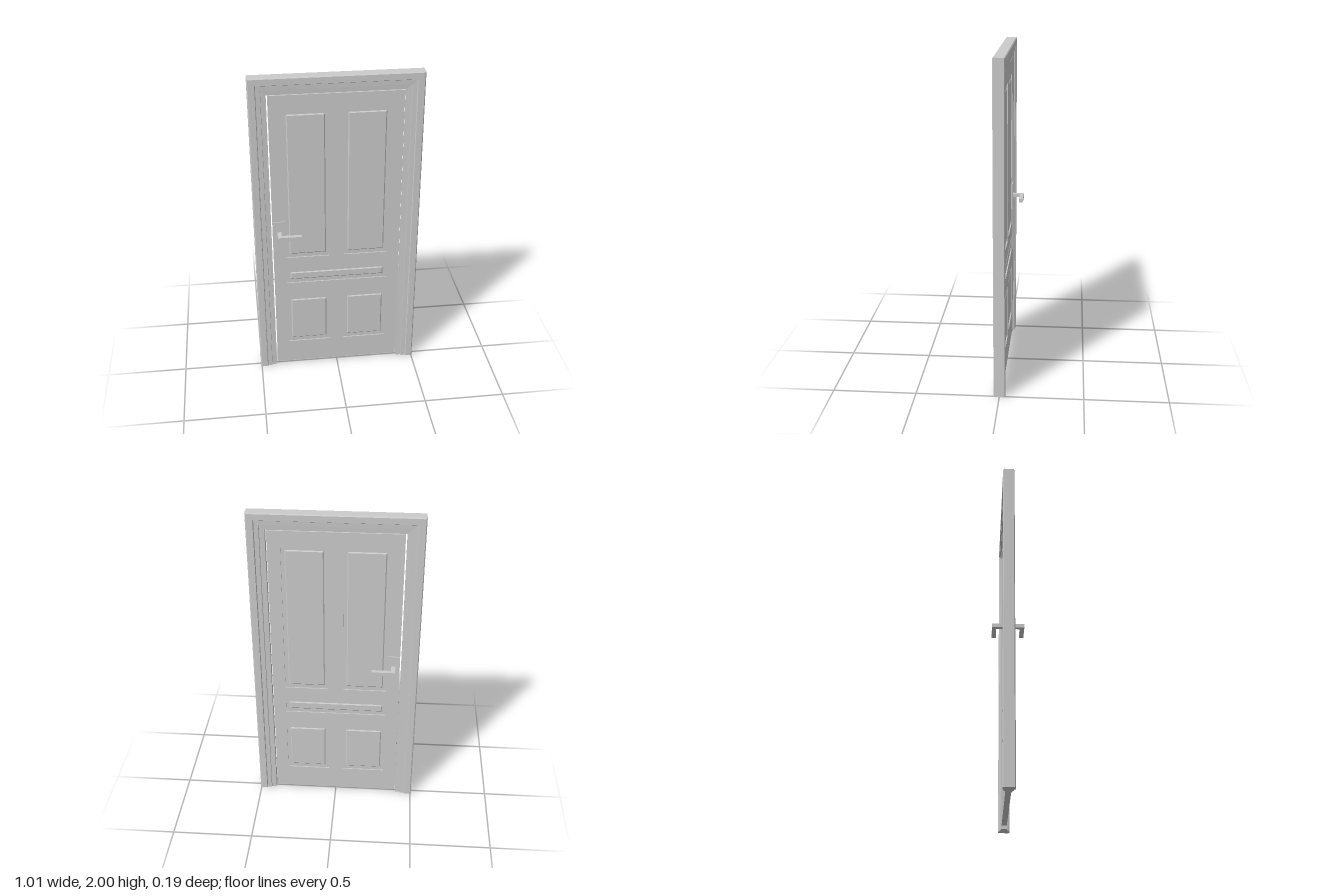
import * as THREE from 'three';

const material = new THREE.MeshStandardMaterial({ color: 0xcccccc });

const IN_X = 0.4, IN_Y = 1.9, WIDTH = 0.105; // frame opening and casing width
const LEAF = 0.016;                          // half thickness of the door leaf

function add(group, name, geometry, x = 0, y = 0, z = 0) {
  const mesh = new THREE.Mesh(geometry, material);
  mesh.name = name;
  mesh.position.set(x, y, z);
  group.add(mesh);
  return mesh;
}

function trace(target, points) {
  target.setFromPoints(points.map(([x, y]) => new THREE.Vector2(x, y)));
  return target;
}

const rect = (x0, x1, y0, y1) => [[x0, y0], [x1, y0], [x1, y1], [x0, y1]];

// Stepped casing profile: distance from the opening against half depth.
const steps = [
  [0, 0.018], [0.03, 0.02], [0.032, 0.027], [0.058, 0.028],
  [0.062, 0.035], [WIDTH - 0.006, 0.035], [WIDTH, 0.03],
];
const profile = trace(new THREE.Shape(), [
  ...steps.map(([u, z]) => [u, -z]),
  ...steps.slice().reverse(),
]);

// Extrudes the profile, then places each vertex so the corners are mitred.
function casing(place) {
  const geometry = new THREE.ExtrudeGeometry(profile, { depth: 1, bevelEnabled: false });
  const p = geometry.attributes.position;
  for (let i = 0; i < p.count; i++) {
    p.setXYZ(i, ...place(p.getX(i), p.getY(i), p.getZ(i)));
  }
  geometry.computeVertexNormals();
  return geometry;
}

// Raised field with sloping edges on both faces.
function panelField(w, h) {
  const bevel = 0.006;
  const shape = trace(new THREE.Shape(), rect(-w / 2 + bevel, w / 2 - bevel, -h / 2 + bevel, h / 2 - bevel));
  const geometry = new THREE.ExtrudeGeometry(shape, {
    depth: 0.018, bevelEnabled: true, bevelSize: bevel, bevelThickness: 0.005, bevelSegments: 1,
  });
  return geometry.translate(0, 0, -0.009);
}

export function createModel() {
  const model = new THREE.Group();
  model.name = 'panelledDoor';

  // Frame
  const frame = new THREE.Group();
  frame.name = 'doorFrame';
  add(frame, 'leftJamb', casing((u, z, t) => [IN_X + u, (1 - t) * (IN_Y + u), z]));
  add(frame, 'rightJamb', casing((u, z, t) => [-IN_X - u, t * (IN_Y + u), z]));
  add(frame, 'headCasing', casing((u, z, t) => [(2 * t - 1) * (IN_X + u), IN_Y + u, z]));
  frame.scale.y = 2 / (IN_Y + WIDTH);
  model.add(frame);

  // Door leaf with five panel openings: x0, x1, y0, y1
  const leaf = new THREE.Group();
  leaf.name = 'doorLeaf';
  const panels = [[-0.315, 0.315, 0.633, 0.733]];
  for (const [x0, x1] of [[-0.315, -0.045], [0.045, 0.315]]) {
    panels.push([x0, x1, 0.82, 1.795], [x0, x1, 0.178, 0.527]);
  }
  const outline = trace(new THREE.Shape(), rect(-0.392, 0.392, 0.02, 1.89));
  outline.holes = panels.map((p) => trace(new THREE.Path(), rect(...p).reverse()));
  const stiles = new THREE.ExtrudeGeometry(outline, { depth: 2 * LEAF, bevelEnabled: false });
  add(leaf, 'stilesAndRails', stiles.translate(0, 0, -LEAF));
  for (const [x0, x1, y0, y1] of panels) {
    const w = x1 - x0, h = y1 - y0, cx = (x0 + x1) / 2, cy = (y0 + y1) / 2;
    add(leaf, 'panelGroove', new THREE.BoxGeometry(w, h, 0.018), cx, cy);
    add(leaf, 'panelField', panelField(w - 0.045, h - 0.05), cx, cy);
  }
  model.add(leaf);

  // Handle on each face: plate, and an L-shaped lever seen from above
  const lever = trace(new THREE.Shape(), [
    [-0.365, -LEAF], [-0.34, -LEAF], [-0.34, -0.0685],
    [-0.222, -0.0685], [-0.222, -0.0935], [-0.365, -0.0935],
  ].reverse());
  for (const side of [1, -1]) {
    const handle = new THREE.Group();
    handle.name = side > 0 ? 'frontHandle' : 'backHandle';
    add(handle, 'handlePlate', new THREE.BoxGeometry(0.077, 0.16, 0.006), -0.3535, 1, side * (LEAF + 0.003));
    const geometry = new THREE.ExtrudeGeometry(lever, { depth: 0.022, bevelEnabled: false });
    geometry.translate(0, 0, -0.011);
    // The outline is turned flat: its y becomes depth towards this face.
    add(handle, 'handleLever', geometry.rotateX(side > 0 ? -Math.PI / 2 : Math.PI / 2), 0, 1, 0);
    model.add(handle);
  }

  return model;
}
